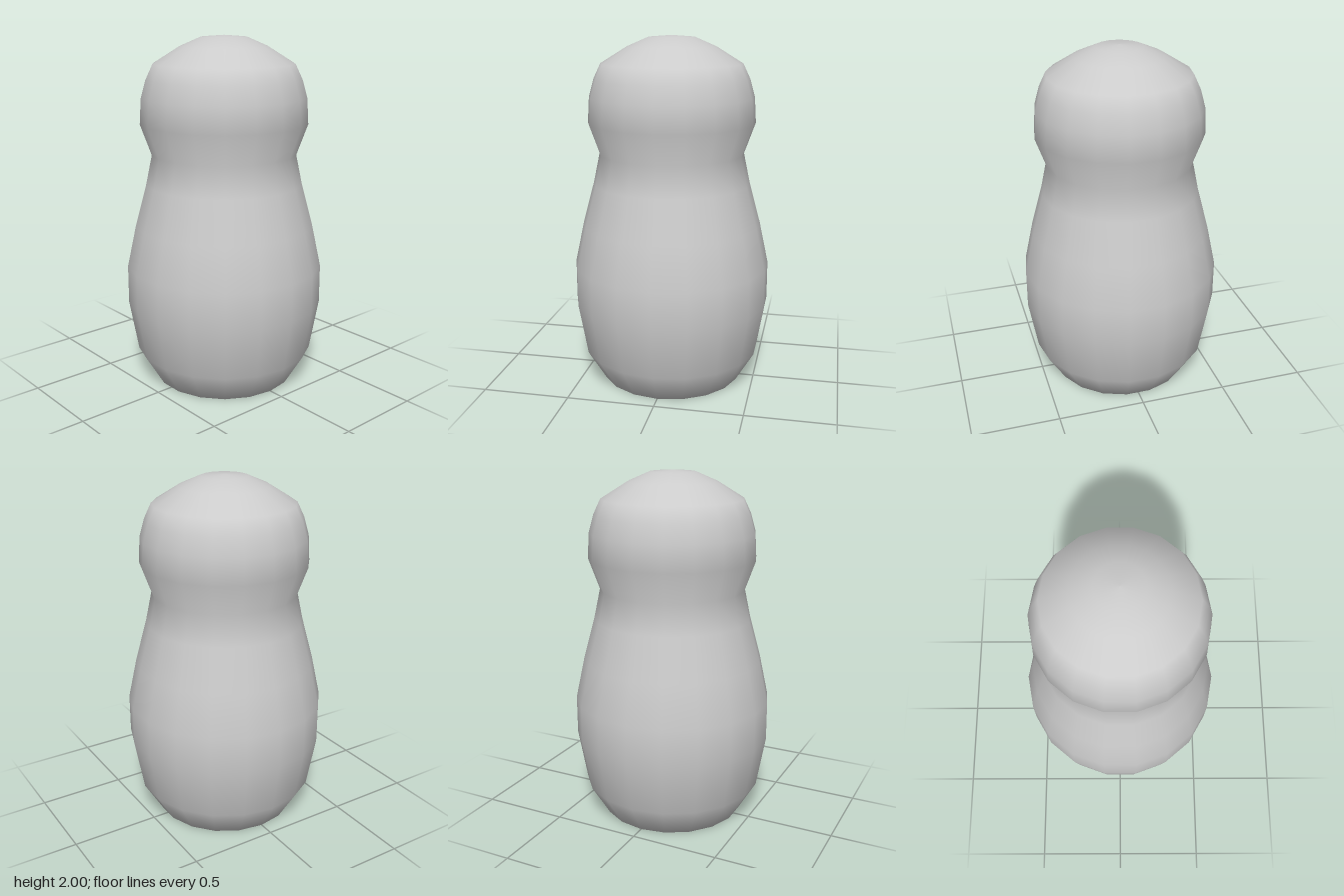
import * as THREE from 'three';

export function createModel() {
  const model = new THREE.Group();
  model.name = 'pegDoll';

  // Profile [radius, height]: base, belly, neck, head, crown
  const profile = [
    [0, 0], [0.41, 0], [0.515, 0.175], [0.567, 0.47], [0.567, 0.69],
    [0.515, 0.93], [0.45, 1.17], [0.414, 1.34],
    [0.477, 1.515], [0.468, 1.66], [0.44, 1.76], [0.4, 1.845],
    [0.25, 1.938], [0.13, 1.99], [0, 2],
  ].map(([r, y]) => new THREE.Vector2(r, y));

  // Smooth turned figure with 18 sides, one corner pointing along +x
  const figure = new THREE.Mesh(
    new THREE.LatheGeometry(profile, 18, Math.PI / 2),
    new THREE.MeshStandardMaterial({ color: 0xcccccc })
  );
  figure.name = 'turnedBodyAndHead';
  model.add(figure);
  return model;
}
